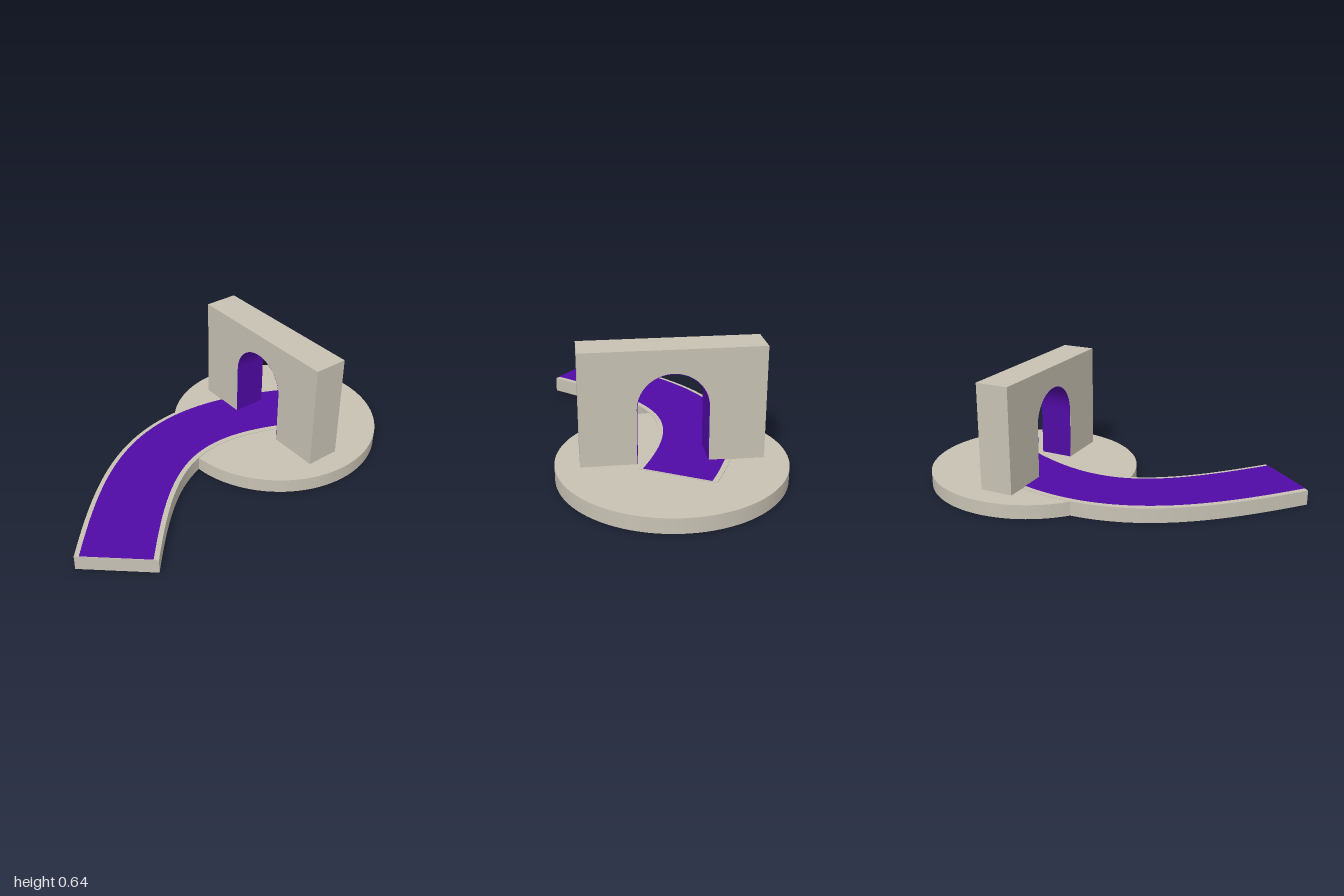
import * as THREE from 'three';
import { mergeGeometries } from 'three/addons/utils/BufferGeometryUtils.js';

const DISC_TOP = 0.075, PATH_TOP = 0.078, CARPET_TOP = 0.081;

// Ribbon joining a list of [a, b] point pairs
function strip(pairs) {
  const pos = [], index = [];
  pairs.forEach(([a, b], i) => {
    pos.push(a.x, a.y, a.z, b.x, b.y, b.z);
    if (i) {
      const k = 2 * (i - 1);
      index.push(k, k + 2, k + 1, k + 1, k + 2, k + 3);
    }
  });
  const g = new THREE.BufferGeometry();
  g.setAttribute('position', new THREE.Float32BufferAttribute(pos, 3));
  g.setIndex(index);
  g.computeVertexNormals();
  return g;
}

// Round-topped doorway outline, standing on y = base
function doorway(target, half, base, spring) {
  target.moveTo(-half, base);
  target.lineTo(-half, spring);
  target.absarc(0, spring, half, Math.PI, 0, true);
  target.lineTo(half, base);
  return target;
}

export function createModel() {
  const stone = new THREE.MeshStandardMaterial({ color: 0xc8c2b4, side: THREE.DoubleSide });
  stone.name = 'stone';
  const purple = new THREE.MeshStandardMaterial({ color: 0x500aa5, side: THREE.DoubleSide });
  purple.name = 'purple';

  const model = new THREE.Group();
  const add = (name, geometry, material) => {
    const mesh = new THREE.Mesh(geometry, material);
    mesh.name = name;
    model.add(mesh);
    return mesh;
  };

  // Round base
  add('base', new THREE.CylinderGeometry(0.56, 0.56, DISC_TOP, 96), stone)
    .position.set(0, DISC_TOP / 2, -0.44);

  // Gate wall with an open doorway
  const W = 0.44, H = 0.642, half = 0.168, spring = 0.355, skin = 0.003;
  const wall = doorway(new THREE.Shape(), half + skin, PATH_TOP, spring);
  wall.lineTo(W, PATH_TOP);
  wall.lineTo(W, H);
  wall.lineTo(-W, H);
  wall.lineTo(-W, PATH_TOP);
  add('gateWall', new THREE.ExtrudeGeometry(wall, { depth: 0.18, bevelEnabled: false, curveSegments: 40 }), stone)
    .position.z = -0.49;

  // Thin coloured lining inside the doorway
  const lining = doorway(new THREE.Shape(), half + skin, PATH_TOP, spring);
  lining.lineTo(half, PATH_TOP);
  lining.lineTo(half, spring);
  lining.absarc(0, spring, half, 0, Math.PI, false);
  lining.lineTo(-half, PATH_TOP);
  add('doorwayLining', new THREE.ExtrudeGeometry(lining, { depth: 0.178, bevelEnabled: false, curveSegments: 40 }), purple)
    .position.z = -0.489;

  // Curving path: hollow underneath, with side walls and end caps
  const curve = new THREE.CubicBezierCurve3(
    new THREE.Vector3(0, 0, -0.623),
    new THREE.Vector3(-0.37, 0, 0.07),
    new THREE.Vector3(-0.105, 0, 0.405),
    new THREE.Vector3(0.42, 0, 0.852));
  const N = 64;
  const point = (i, side, y) => {
    const p = curve.getPoint(i / N), t = curve.getTangent(i / N);
    return new THREE.Vector3(p.x + t.z * side, y, p.z - t.x * side);
  };
  const along = (s1, y1, s2, y2) =>
    strip(Array.from({ length: N + 1 }, (_, i) => [point(i, s1, y1), point(i, s2, y2)]));
  const cap = (i, s) =>
    strip([-s, s].map(side => [point(i, side, 0), point(i, side, PATH_TOP)]));

  const R = 0.194;
  add('path', mergeGeometries([
    along(-R, PATH_TOP, R, PATH_TOP),
    along(-R, 0, -R, PATH_TOP),
    along(R, PATH_TOP, R, 0),
    cap(0, -R),
    cap(N, R),
  ]), stone);

  // Carpet laid along the path
  add('carpet', along(-0.17, CARPET_TOP, 0.17, CARPET_TOP), purple);

  return model;
}
